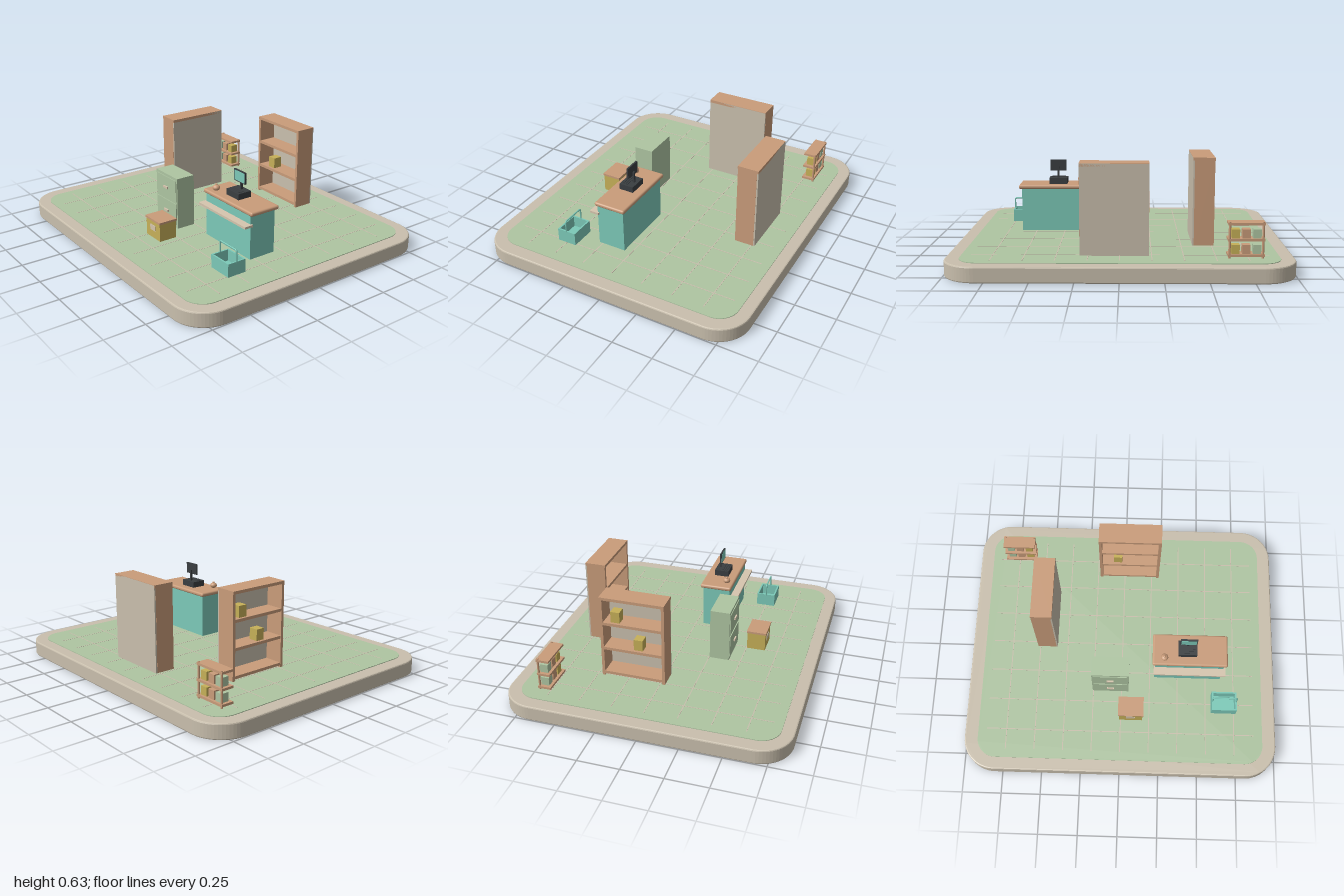
import * as THREE from 'three';
import { RoundedBoxGeometry } from 'three/addons/geometries/RoundedBoxGeometry.js';

function paint(name, color, side = THREE.FrontSide) {
  const m = new THREE.MeshStandardMaterial({ color, side });
  m.name = name;
  return m;
}

const FLOOR = 0.098;

export function createModel() {
  const root = new THREE.Group();
  root.name = 'shopInterior';
  const stone = paint('stone', 0xc9bfad);
  const green = paint('sageGreen', 0xaec5a2);
  const wood = paint('wood', 0xc99c7a);
  const teal = paint('teal', 0x7cc9b8);
  const gold = paint('gold', 0xc6b058);
  const dark = paint('charcoal', 0x3a3e41);
  const cream = paint('cream', 0xd6c5ae);

  const add = (parent, name, geo, mat, x = 0, y = 0, z = 0) => {
    const mesh = new THREE.Mesh(geo, mat);
    mesh.name = name;
    mesh.position.set(x, y, z);
    parent.add(mesh);
    return mesh;
  };
  // Box given by its limits on each axis
  const box = (parent, name, mat, x0, x1, y0, y1, z0, z1) =>
    add(parent, name, new THREE.BoxGeometry(x1 - x0, y1 - y0, z1 - z0), mat,
      (x0 + x1) / 2, (y0 + y1) / 2, (z0 + z1) / 2);
  const group = (name, x = 0, y = 0, z = 0) => {
    const g = new THREE.Group();
    g.name = name;
    g.position.set(x, y, z);
    root.add(g);
    return g;
  };

  // Rounded slab lying flat, with a small bevel
  function slab(hx, hz, r, y0, y1, bevel) {
    const a = hx - bevel, b = hz - bevel, q = r - bevel;
    const s = new THREE.Shape();
    s.moveTo(-a + q, -b);
    s.lineTo(a - q, -b);
    s.absarc(a - q, -b + q, q, -Math.PI / 2, 0);
    s.lineTo(a, b - q);
    s.absarc(a - q, b - q, q, 0, Math.PI / 2);
    s.lineTo(-a + q, b);
    s.absarc(-a + q, b - q, q, Math.PI / 2, Math.PI);
    s.lineTo(-a, -b + q);
    s.absarc(-a + q, -b + q, q, Math.PI, Math.PI * 1.5);
    const geo = new THREE.ExtrudeGeometry(s, {
      depth: y1 - y0 - 2 * bevel, curveSegments: 8,
      bevelEnabled: bevel > 0, bevelSize: bevel, bevelThickness: bevel, bevelSegments: 2,
    });
    geo.rotateX(-Math.PI / 2);
    geo.translate(0, y0 + bevel, 0);
    return geo;
  }

  // Base, floor and tile joints
  add(root, 'base', slab(1, 0.862, 0.2, 0, 0.094, 0.008), stone);
  add(root, 'floor', slab(0.915, 0.785, 0.12, 0.09, FLOOR, 0), green);
  const joints = group('tileJoints');
  for (let i = -4; i <= 4; i++) {
    const x = i * 0.183;
    box(joints, 'tileJoint', stone, x - 0.003, x + 0.003, FLOOR - 0.002, FLOOR + 0.001, -0.73, 0.73);
  }
  for (let i = -3; i <= 3; i++) {
    const z = i * 0.2;
    box(joints, 'tileJoint', stone, -0.86, 0.86, FLOOR - 0.002, FLOOR + 0.001, z - 0.003, z + 0.003);
  }

  // Bookcase, open towards local +z; goods are [x, shelf height]
  function bookcase(name, x, z, turn, goods) {
    const g = group(name, x, FLOOR, z);
    g.rotation.y = turn;
    for (const s of [-1, 1]) {
      const cx = s * 0.191;
      box(g, 'sidePanel', wood, cx - 0.009, cx + 0.009, 0, 0.534, -0.057, 0.064);
    }
    box(g, 'backPanel', stone, -0.199, 0.199, 0, 0.533, -0.066, -0.055);
    box(g, 'topBoard', wood, -0.2, 0.2, 0.517, 0.535, -0.066, 0.066);
    for (const y of [0.02, 0.19, 0.358])
      box(g, 'shelf', wood, -0.183, 0.183, y - 0.009, y + 0.009, -0.056, 0.062);
    for (const [gx, y] of goods)
      box(g, 'shelfBox', gold, gx - 0.028, gx + 0.028, y + 0.009, y + 0.079, -0.015, 0.045);
  }
  bookcase('backBookcase', 0.032, -0.555, 0, [[-0.08, 0.19]]);
  bookcase('sideBookcase', -0.5, -0.17, -Math.PI / 2, [[-0.11, 0.358], [0.03, 0.19]]);

  // Small display rack with two rows of goods
  const rack = group('displayRack');
  for (const x of [-0.812, -0.622])
    add(rack, 'rackPost', new THREE.CylinderGeometry(0.007, 0.007, 0.212, 8), wood, x, 0.204, -0.668);
  for (const y of [0.115, 0.205, 0.298])
    box(rack, 'rackShelf', wood, -0.823, -0.613, y - 0.007, y + 0.007, -0.676, -0.595);
  for (const y of [0.122, 0.212])
    [green, wood, gold].forEach((mat, i) => {
      const x = -0.78 + i * 0.061;
      box(rack, 'rackGoods', mat, x - 0.023, x + 0.023, y, y + 0.052, -0.662, -0.612);
    });

  // Sales counter
  const counter = group('counter');
  box(counter, 'counterBody', teal, 0.212, 0.645, FLOOR, 0.378, 0.047, 0.225);
  add(counter, 'counterTop', new RoundedBoxGeometry(0.472, 0.026, 0.205, 3, 0.011), wood, 0.429, 0.387, 0.132);
  box(counter, 'counterLedge', cream, 0.203, 0.657, 0.308, 0.322, 0.215, 0.275);

  // Till with raised screen
  const till = group('till');
  box(till, 'tillBase', dark, 0.353, 0.47, 0.4, 0.438, 0.085, 0.178);
  for (let i = 0; i < 3; i++)
    box(till, 'keyRow', dark, 0.366, 0.457, 0.437, 0.441, 0.13 + i * 0.014, 0.139 + i * 0.014);
  box(till, 'screenPost', dark, 0.406, 0.418, 0.436, 0.51, 0.105, 0.118);
  box(till, 'screenFrame', dark, 0.36, 0.465, 0.484, 0.556, 0.116, 0.127);
  box(till, 'screenFace', teal, 0.365, 0.46, 0.489, 0.551, 0.125, 0.1285);

  // Counter bell
  const bell = group('bell', 0.267, 0.4, 0.19);
  add(bell, 'bellDome', new THREE.SphereGeometry(0.023, 16, 12), wood, 0, 0.018, 0).scale.y = 0.8;
  add(bell, 'bellKnob', new THREE.SphereGeometry(0.008, 10, 8), wood, 0, 0.037, 0);

  // Filing cabinet with two drawers
  const filing = group('filingCabinet');
  box(filing, 'cabinetBody', green, -0.187, 0.047, FLOOR, 0.432, 0.203, 0.327);
  for (const y of [0.19, 0.345]) {
    box(filing, 'drawerFront', green, -0.177, 0.037, y - 0.07, y + 0.07, 0.326, 0.332);
    box(filing, 'drawerHandle', cream, -0.092, -0.048, y - 0.007, y + 0.007, 0.331, 0.341);
  }

  // Storage box with lid and label
  const crate = group('storageBox');
  box(crate, 'boxBody', gold, -0.01, 0.14, FLOOR, 0.212, 0.403, 0.519);
  box(crate, 'boxLid', wood, -0.016, 0.146, 0.211, 0.224, 0.399, 0.524);
  box(crate, 'boxLabel', cream, 0.035, 0.092, 0.148, 0.184, 0.518, 0.522);

  // Open shopping basket with a hoop handle
  const basket = group('basket');
  box(basket, 'basketFloor', teal, 0.59, 0.742, FLOOR, 0.11, 0.342, 0.452);
  for (const x of [0.585, 0.735])
    box(basket, 'basketEnd', teal, x, x + 0.01, FLOOR, 0.18, 0.336, 0.458);
  for (const z of [0.336, 0.448])
    box(basket, 'basketSide', teal, 0.594, 0.736, FLOOR, 0.18, z, z + 0.01);
  const hoop = new THREE.CurvePath();
  const v = (x, y) => new THREE.Vector3(x, y, 0.398);
  hoop.add(new THREE.LineCurve3(v(0.589, 0.17), v(0.589, 0.238)));
  hoop.add(new THREE.QuadraticBezierCurve3(v(0.589, 0.238), v(0.589, 0.25), v(0.601, 0.25)));
  hoop.add(new THREE.LineCurve3(v(0.601, 0.25), v(0.729, 0.25)));
  hoop.add(new THREE.QuadraticBezierCurve3(v(0.729, 0.25), v(0.741, 0.25), v(0.741, 0.238)));
  hoop.add(new THREE.LineCurve3(v(0.741, 0.238), v(0.741, 0.17)));
  add(basket, 'basketHandle', new THREE.TubeGeometry(hoop, 60, 0.005, 8), teal);

  return root;
}
